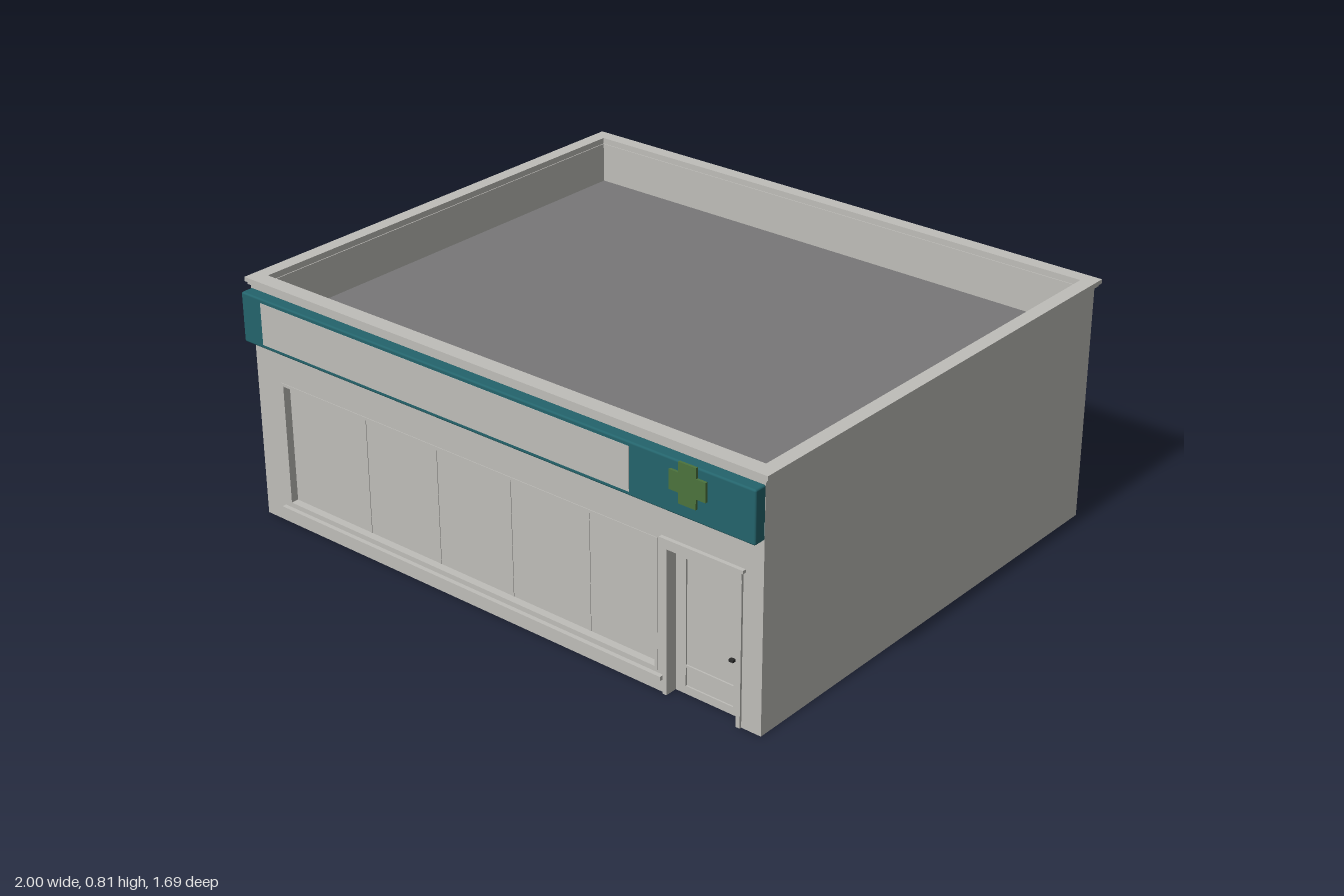
import * as THREE from 'three';
import { RoundedBoxGeometry } from 'three/addons/geometries/RoundedBoxGeometry.js';

const mat = (name, color) => {
  const m = new THREE.MeshStandardMaterial({ color });
  m.name = name;
  return m;
};

// closed shape from [x, y] points
const poly = (pts) => new THREE.Shape(pts.map(([x, y]) => new THREE.Vector2(x, y)));
const rect = (x0, x1, y0, y1) => poly([[x0, y0], [x1, y0], [x1, y1], [x0, y1]]);

export function createModel() {
  const group = new THREE.Group();
  const wall = mat('pale stone', 0xbfbeb9);
  const roofGrey = mat('roof grey', 0x787778);
  const teal = mat('teal', 0x24646c);
  const green = mat('green', 0x4c733d);
  const brown = mat('dark brown', 0x3b3130);
  const dark = mat('dark metal', 0x2a2a2a);

  const add = (name, geo, material) => {
    const mesh = new THREE.Mesh(geo, material);
    mesh.name = name;
    group.add(mesh);
    return mesh;
  };
  // box given by its limits on each axis
  const box = (name, x0, x1, y0, y1, z0, z1, material = wall) => {
    const mesh = add(name, new THREE.BoxGeometry(x1 - x0, y1 - y0, z1 - z0), material);
    mesh.position.set((x0 + x1) / 2, (y0 + y1) / 2, (z0 + z1) / 2);
    return mesh;
  };
  // upright plate extruded along z
  const plate = (name, shape, z0, z1, material = wall) => {
    const mesh = add(name, new THREE.ExtrudeGeometry(shape, { depth: z1 - z0, bevelEnabled: false }), material);
    mesh.position.z = z0;
    return mesh;
  };
  // rectangular border standing upright
  const frame = (name, x0, x1, y0, y1, w, z0, z1) => {
    const s = rect(x0, x1, y0, y1);
    s.holes.push(rect(x0 + w, x1 - w, y0 + w, y1 - w));
    return plate(name, s, z0, z1);
  };
  // horizontal ring around the building
  const ring = (name, hx, zBack, zFront, innerX, inBack, inFront, y0, y1) => {
    const s = rect(-hx, hx, -zFront, -zBack);
    s.holes.push(rect(-innerX, innerX, -inFront, -inBack));
    const geo = new THREE.ExtrudeGeometry(s, { depth: y1 - y0, bevelEnabled: false });
    geo.rotateX(-Math.PI / 2);
    add(name, geo, wall).position.y = y0;
  };

  // outer walls, open underneath
  const W = 0.985, B = -0.83, F = 0.787, T = 0.79;
  box('backWall', -W, W, 0, T, B, B + 0.01);
  for (const s of [-1, 1]) {
    box('sideWall', Math.min(s * W, s * (W - 0.01)), Math.max(s * W, s * (W - 0.01)), 0, T, B + 0.01, F - 0.03);
  }
  const front = poly([[-W, 0], [0.655, 0], [0.655, 0.47], [0.905, 0.47], [0.905, 0], [W, 0], [W, T], [-W, T]]);
  front.holes.push(rect(-0.88, 0.62, 0.065, 0.488));
  plate('frontWall', front, F - 0.03, F);

  // sunken roof, parapet and coping
  box('roof', -0.974, 0.974, 0.645, 0.655, B + 0.01, F - 0.03, roofGrey);
  ring('parapet', 0.98, B + 0.005, F - 0.005, 0.95, -0.795, 0.742, 0.655, T);
  ring('copingLower', 0.993, -0.838, 0.793, 0.953, -0.798, 0.745, 0.787, 0.796);
  ring('copingUpper', 1, -0.845, 0.798, 0.953, -0.798, 0.745, 0.796, 0.81);

  // shop window
  box('windowPane', -0.88, 0.62, 0.065, 0.488, 0.757, 0.763);
  frame('windowFrame', -0.88, 0.62, 0.065, 0.488, 0.01, 0.763, 0.789);
  for (const x of [-0.54, -0.245, 0.05, 0.35]) {
    box('windowMullion', x - 0.003, x + 0.003, 0.075, 0.478, 0.763, 0.765);
  }
  box('windowSill', -0.9, 0.64, 0.043, 0.057, 0.78, 0.802);

  // display case behind the window
  box('displayBack', -0.88, 0.62, 0.065, 0.5, 0.35, 0.356, brown);
  box('displaySide', -0.88, -0.874, 0.065, 0.5, 0.356, 0.757, brown);
  box('displaySide', 0.614, 0.62, 0.065, 0.5, 0.356, 0.757, brown);
  box('displayFloor', -0.874, 0.614, 0.065, 0.071, 0.356, 0.757, roofGrey);
  box('displayCeiling', -0.874, 0.614, 0.494, 0.5, 0.356, 0.757, roofGrey);

  // door with surround
  box('doorPanel', 0.655, 0.905, 0, 0.47, 0.745, 0.753);
  frame('doorFrame', 0.672, 0.89, 0.005, 0.462, 0.025, 0.753, 0.758);
  box('doorRail', 0.697, 0.865, 0.09, 0.098, 0.753, 0.758);
  box('doorPilaster', 0.643, 0.657, 0, 0.47, 0.75, 0.794);
  box('doorPilaster', 0.903, 0.917, 0, 0.47, 0.75, 0.794);
  box('doorLintel', 0.643, 0.917, 0.468, 0.492, 0.75, 0.795);
  box('doorCornice', 0.635, 0.925, 0.492, 0.502, 0.75, 0.8);
  box('doorHandle', 0.857, 0.872, 0.18, 0.188, 0.758, 0.77, dark);

  // fascia with blank sign panel
  const fascia = add('fascia', new RoundedBoxGeometry(1.97, 0.165, 0.044, 2, 0.006), teal);
  fascia.position.set(0, 0.693, 0.806);
  box('signPanel', -0.9, 0.555, 0.624, 0.762, 0.826, 0.8295);

  // green cross in front of the fascia
  const a = 0.0625, b = 0.03;
  const cross = poly([[-b, -a], [b, -a], [b, -b], [a, -b], [a, b], [b, b],
    [b, a], [-b, a], [-b, b], [-a, b], [-a, -b], [-b, -b]]);
  plate('crossSign', cross, 0.837, 0.845, green).position.set(0.77, 0.722, 0.837);

  return group;
}
